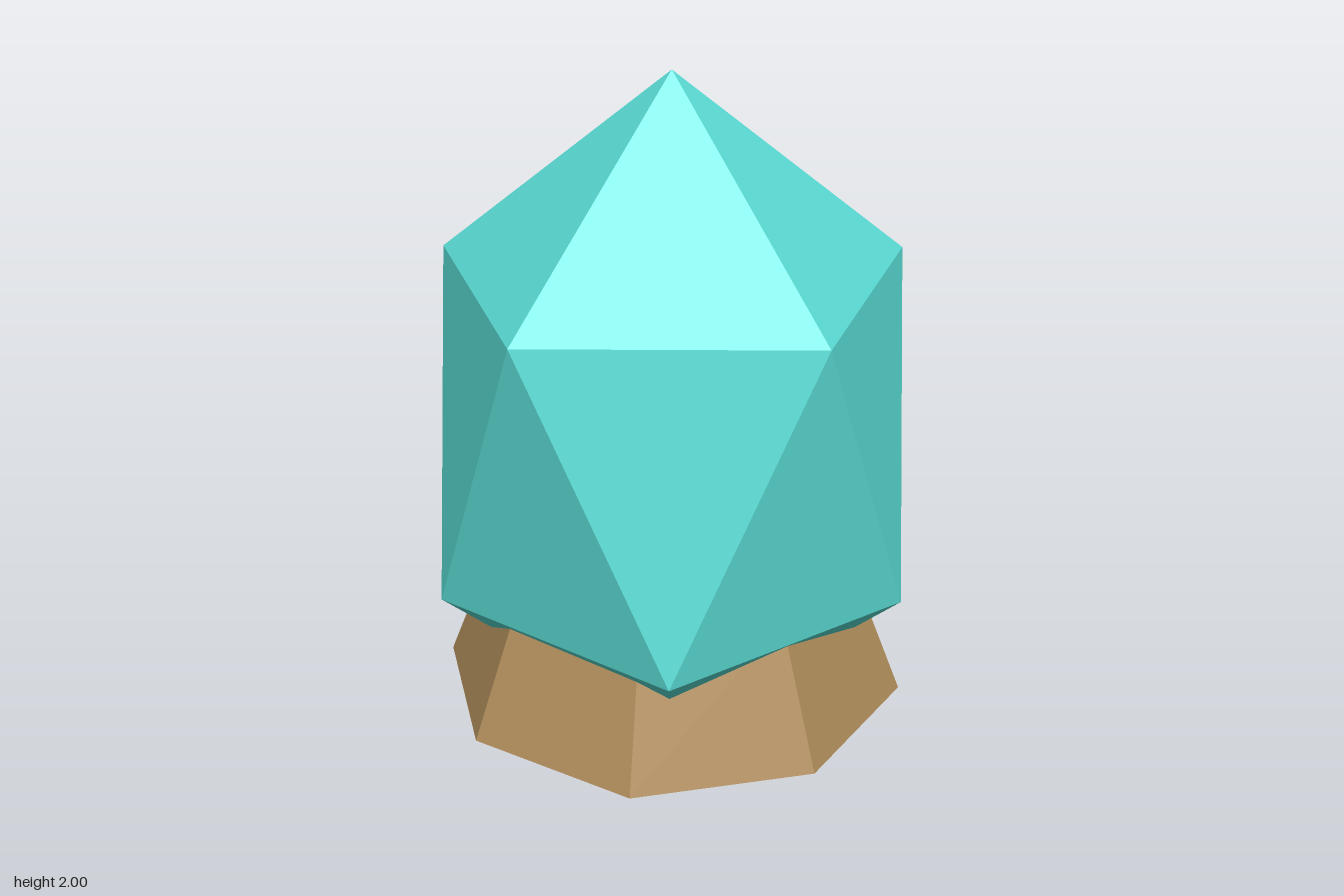
import * as THREE from 'three';

// Faceted gem: two staggered five-sided rings capped by a point at each end
function gemGeometry() {
  const radius = 0.671, upperY = 1.447, lowerY = 0.553;
  const ring = (y, offset) => Array.from({ length: 5 }, (_, i) => {
    const a = (i * 2 * Math.PI) / 5 + offset;
    return [Math.cos(a) * radius, y, Math.sin(a) * radius];
  });
  const upper = ring(upperY, 0);
  const lower = ring(lowerY, Math.PI / 5);
  const top = [0, 2, 0], bottom = [0, 0, 0];
  const points = [];
  for (let i = 0; i < 5; i++) {
    const j = (i + 1) % 5;
    points.push(
      top, upper[j], upper[i],
      upper[i], upper[j], lower[i],
      lower[i], upper[j], lower[j],
      lower[i], lower[j], bottom,
    );
  }
  const geometry = new THREE.BufferGeometry();
  geometry.setAttribute('position', new THREE.Float32BufferAttribute(points.flat(), 3));
  geometry.computeVertexNormals();
  return geometry;
}

export function createModel() {
  const crystal = new THREE.MeshStandardMaterial({ color: 0x5ce0d8, flatShading: true });
  crystal.name = 'turquoise crystal';
  const bronze = new THREE.MeshStandardMaterial({ color: 0xb08d5b, flatShading: true });
  bronze.name = 'bronze';

  const model = new THREE.Group();
  model.name = 'crystalOnStand';

  const gem = new THREE.Mesh(gemGeometry(), crystal);
  gem.name = 'gem';

  // Eight-sided tapered collar holding the gem
  const bottomY = 0.21, height = 0.4;
  const stand = new THREE.Mesh(new THREE.CylinderGeometry(0.51, 0.665, height, 8), bronze);
  stand.name = 'stand';
  stand.position.y = bottomY + height / 2;

  model.add(gem, stand);
  return model;
}
